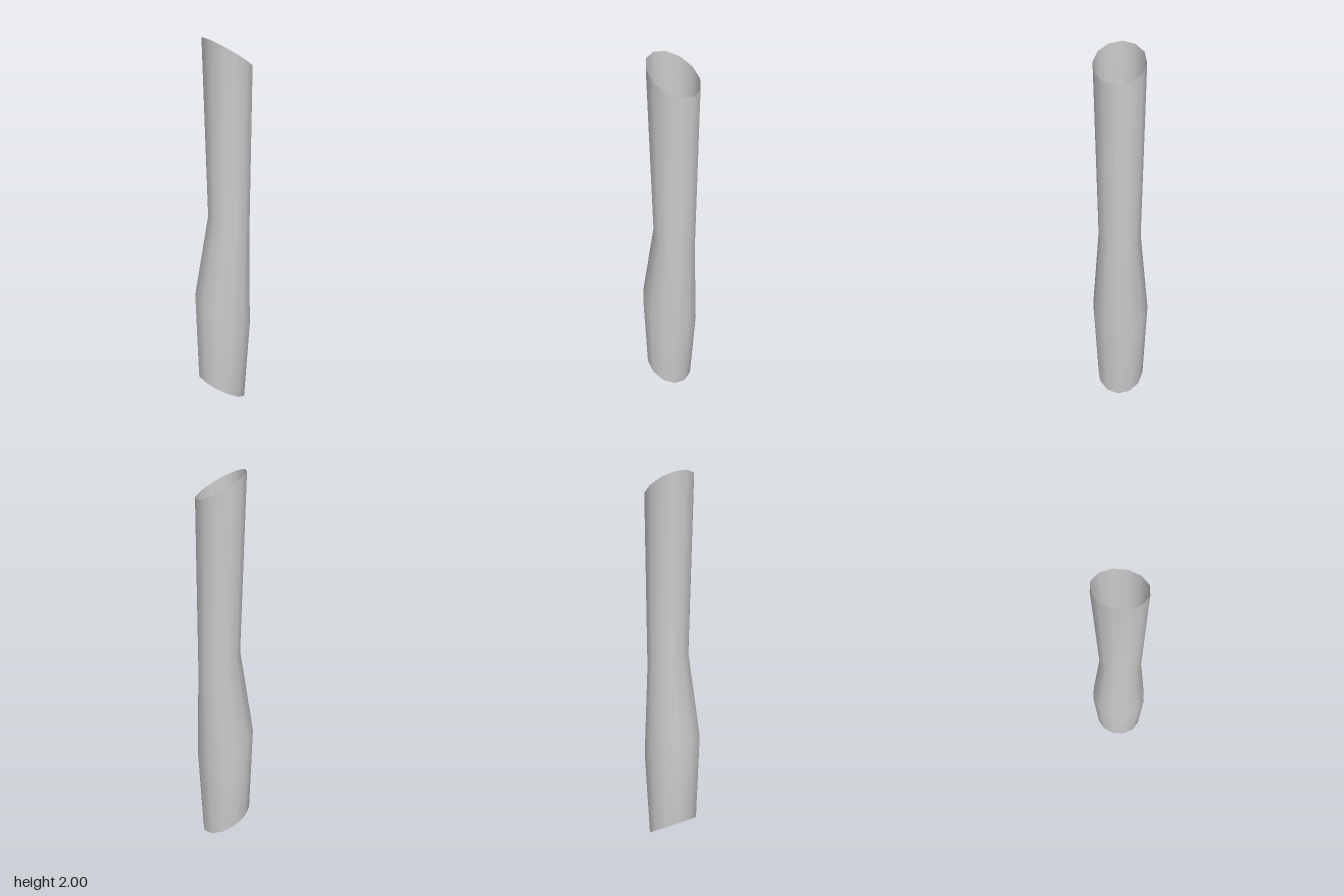
import * as THREE from 'three';
import { mergeVertices } from 'three/addons/utils/BufferGeometryUtils.js';

// Slanted rings from top to bottom: [centre x, centre y, radius, drop from centre to right edge]
const RINGS = [
  [0.023, 1.925, 0.133, 0.075],
  [0.034, 1.0, 0.114, 0.062],
  [-0.001, 0.53, 0.155, 0.083],
  [-0.007, 0.07, 0.132, 0.069],
];
const SIDES = 12;

export function createModel() {
  const group = new THREE.Group();
  group.name = 'slantedTube';

  // Open cylinder whose rows are moved onto the slanted rings
  const base = new THREE.CylinderGeometry(1, 1, 1, SIDES, RINGS.length - 1, true);
  const pos = base.attributes.position;
  for (let i = 0; i < pos.count; i++) {
    const [cx, cy, radius, drop] = RINGS[Math.floor(i / (SIDES + 1))];
    const x = pos.getX(i), z = pos.getZ(i);
    pos.setXYZ(i, cx + radius * x, cy - drop * x, radius * z);
  }

  // Weld the seam so the shading runs smoothly around the tube
  base.deleteAttribute('uv');
  base.deleteAttribute('normal');
  const geometry = mergeVertices(base, 1e-5);
  geometry.computeVertexNormals();

  const material = new THREE.MeshStandardMaterial({ color: 0xcccccc, side: THREE.DoubleSide });
  const sleeve = new THREE.Mesh(geometry, material);
  sleeve.name = 'sleeve';
  group.add(sleeve);
  return group;
}
